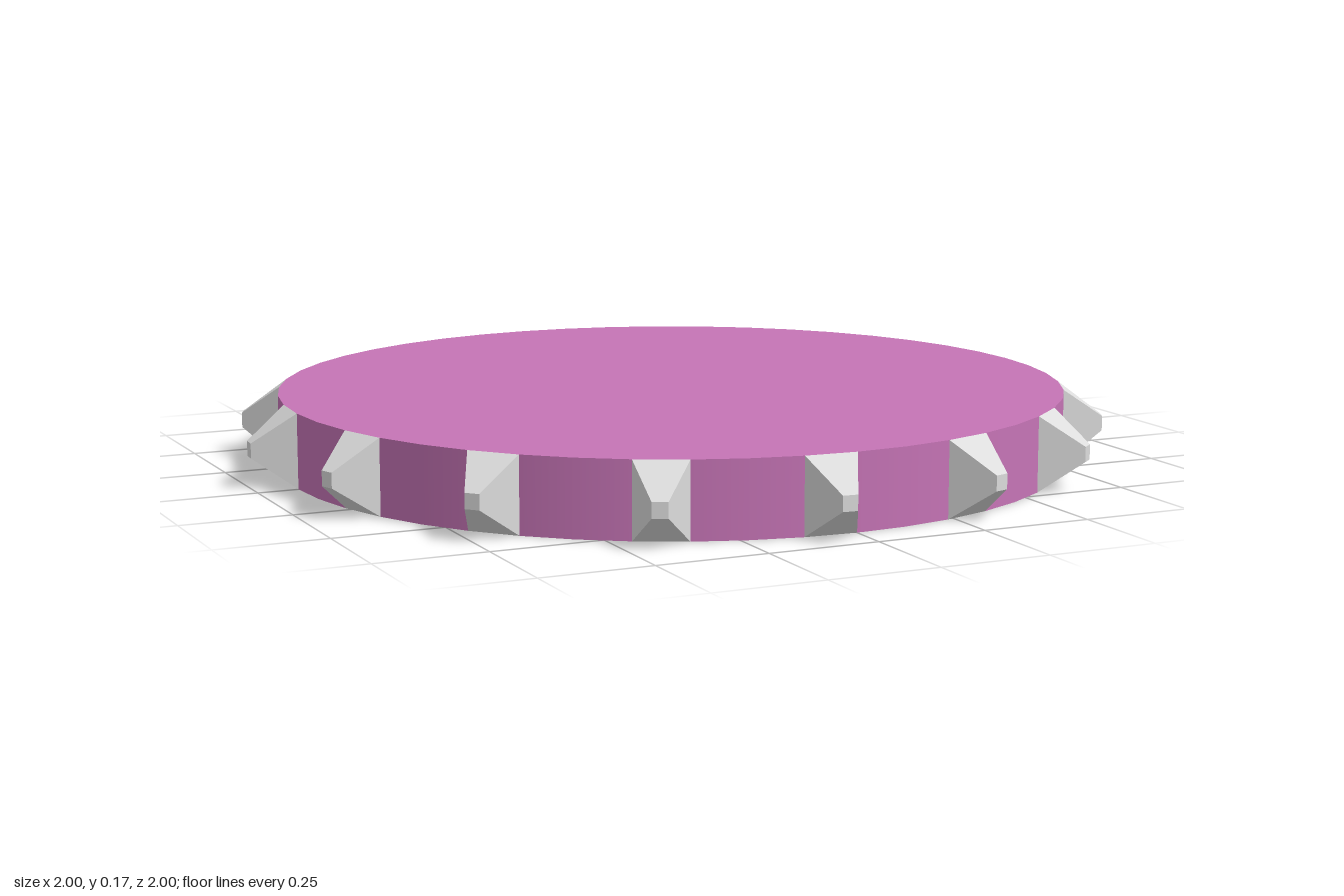
import * as THREE from 'three';

const RADIUS = 0.907, HEIGHT = 0.17, SIDES = 48, SPIKES = 16;
const REACH = 1.0, TIP = 0.034;

// Square-tipped spike along +z: a box whose outer end is pinched in
function spikeGeometry() {
  const half = Math.PI / SIDES;
  const inner = RADIUS * Math.cos(half);
  const width = 2 * RADIUS * Math.sin(half);
  const geometry = new THREE.BoxGeometry(width, HEIGHT, REACH - inner);
  geometry.translate(0, 0, (REACH + inner) / 2);
  const p = geometry.attributes.position;
  for (let i = 0; i < p.count; i++) {
    if (p.getZ(i) > (REACH + inner) / 2) {
      p.setX(i, Math.sign(p.getX(i)) * TIP / 2);
      p.setY(i, Math.sign(p.getY(i)) * TIP / 2);
    }
  }
  geometry.computeVertexNormals();
  return geometry;
}

export function createModel() {
  const orchid = new THREE.MeshStandardMaterial({ color: 0xc674b6 });
  orchid.name = 'orchid';
  const silver = new THREE.MeshStandardMaterial({ color: 0xdcdcdc });
  silver.name = 'silver';

  const model = new THREE.Group();
  model.name = 'spikedDisc';

  // Flat round body
  const disc = new THREE.Mesh(new THREE.CylinderGeometry(RADIUS, RADIUS, HEIGHT, SIDES), orchid);
  disc.name = 'disc';
  disc.position.y = HEIGHT / 2;
  model.add(disc);

  // One spike on every third facet of the rim
  const spikes = new THREE.Group();
  spikes.name = 'spikes';
  const geometry = spikeGeometry();
  for (let i = 0; i < SPIKES; i++) {
    const spike = new THREE.Mesh(geometry, silver);
    spike.name = 'spike';
    spike.position.y = HEIGHT / 2;
    spike.rotation.y = i * 2 * Math.PI / SPIKES - Math.PI / SIDES;
    spikes.add(spike);
  }
  model.add(spikes);
  return model;
}
